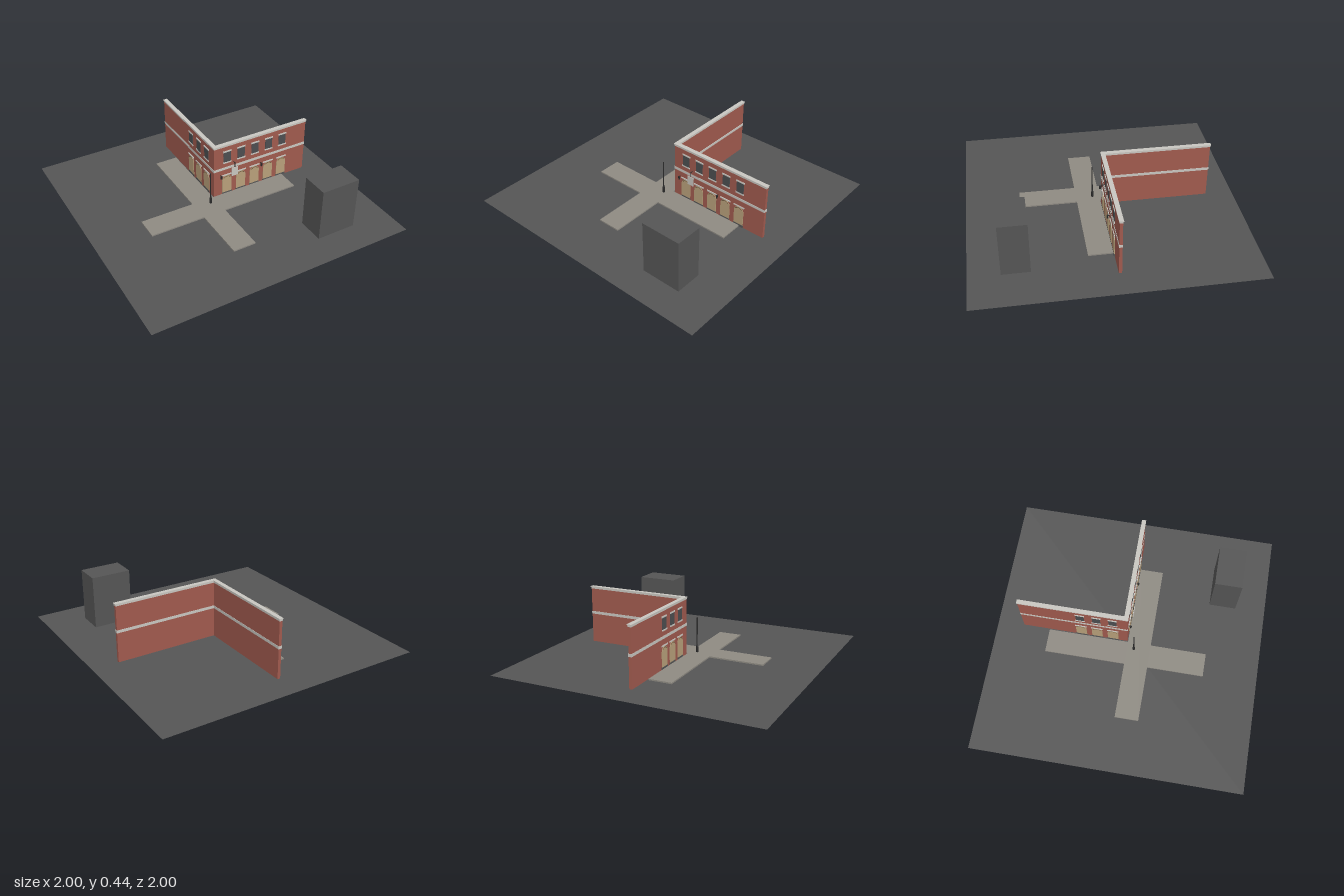
import * as THREE from 'three';

const mat = (name, color, side = THREE.FrontSide) => {
  const m = new THREE.MeshStandardMaterial({ color, side });
  m.name = name;
  return m;
};

export function createModel() {
  const asphalt = mat('asphalt grey', 0x555555, THREE.DoubleSide);
  const paving = mat('paving stone', 0x8e8a82);
  const brick = mat('red brick', 0xa05a4e);
  const stone = mat('pale stone', 0xc8c6c0);
  const tan = mat('tan door', 0xb8a07a);
  const trim = mat('brown trim', 0x80694c);
  const glass = mat('dark glass', 0x4c4e50);
  const iron = mat('black iron', 0x2b2b2b);

  const model = new THREE.Group();
  model.name = 'streetCorner';

  const add = (parent, name, geo, material, x = 0, y = 0, z = 0) => {
    const mesh = new THREE.Mesh(geo, material);
    mesh.name = name;
    mesh.position.set(x, y, z);
    parent.add(mesh);
    return mesh;
  };
  // box given by its minimum and maximum corners
  const box = (parent, name, material, x0, x1, y0, y1, z0, z1) =>
    add(parent, name, new THREE.BoxGeometry(x1 - x0, y1 - y0, z1 - z0), material,
      (x0 + x1) / 2, (y0 + y1) / 2, (z0 + z1) / 2);

  // street and cross-shaped pavement
  add(model, 'ground', new THREE.PlaneGeometry(2, 2).rotateX(-Math.PI / 2), asphalt);
  box(model, 'pavementAcross', paving, -0.6, 0.6, 0, 0.01, 0.005, 0.18);
  box(model, 'pavementBack', paving, -0.185, -0.01, 0, 0.01, -0.6, 0.005);
  box(model, 'pavementFront', paving, -0.185, -0.01, 0, 0.01, 0.18, 0.6);

  // plain block across the street
  box(model, 'streetBlock', asphalt, 0.4, 0.7, 0, 0.4, 0.575, 0.775);

  // L-shaped walls, with bands running round them
  const wallLayer = (name, material, y0, y1, out) => {
    const s = new THREE.Shape([
      [-out, out], [0.8 + out, out], [0.8 + out, -0.022 - out], [0.022 + out, -0.022 - out],
      [0.022 + out, -0.8 - out], [-out, -0.8 - out],
    ].map(([x, z]) => new THREE.Vector2(x, -z)));
    const geo = new THREE.ExtrudeGeometry(s, { depth: y1 - y0, bevelEnabled: false });
    add(model, name, geo.rotateX(-Math.PI / 2), material, 0, y0, 0);
  };
  wallLayer('walls', brick, 0, 0.425, 0);
  wallLayer('stoneBand', stone, 0.222, 0.243, 0.002);
  wallLayer('cornice', stone, 0.422, 0.434, 0.002);
  wallLayer('coping', stone, 0.434, 0.44, 0.005);

  // arched doorway outline
  const r = 0.04, spring = 0.127;
  const arch = new THREE.Shape();
  arch.moveTo(-r, 0.02);
  arch.lineTo(r, 0.02);
  arch.lineTo(r, spring);
  arch.absarc(0, spring, r, 0, Math.PI);
  arch.lineTo(-r, 0.02);
  const doorGeo = new THREE.ExtrudeGeometry(arch, { depth: 0.004, bevelEnabled: false, curveSegments: 10 });
  const archGeo = new THREE.TorusGeometry(0.034, 0.004, 4, 12, Math.PI * 0.6)
    .rotateZ(Math.PI * 0.2).scale(1, 1, 0.6);

  // one bay: door below, window above
  const bay = (parent, x) => {
    const g = new THREE.Group();
    g.name = 'bay';
    g.position.x = x;
    parent.add(g);
    box(g, 'doorStep', asphalt, -0.042, 0.042, 0, 0.02, -0.001, 0.005);
    add(g, 'door', doorGeo, tan);
    add(g, 'doorArch', archGeo, trim, 0, spring, 0.004);
    box(g, 'doorLintel', stone, -0.044, 0.044, 0.168, 0.178, -0.001, 0.005);
    box(g, 'windowPane', glass, -0.03, 0.03, 0.29, 0.375, -0.001, 0.003);
    box(g, 'windowSill', stone, -0.035, 0.035, 0.28, 0.29, -0.001, 0.006);
    box(g, 'windowLintel', stone, -0.035, 0.035, 0.375, 0.386, -0.001, 0.005);
  };
  const facade = (name, count, dir) => {
    const g = new THREE.Group();
    g.name = name;
    model.add(g);
    for (let i = 0; i < count; i++) bay(g, dir * (0.11 + 0.12 * i));
    return g;
  };
  facade('frontFacade', 5, 1);
  facade('sideFacade', 3, -1).rotation.y = -Math.PI / 2;

  // wall lanterns
  for (const x of [0.055, 0.405]) {
    add(model, 'wallLantern', new THREE.CylinderGeometry(0.008, 0.006, 0.025, 8), iron, x, 0.17, 0.015);
    box(model, 'lanternArm', iron, x - 0.002, x + 0.002, 0.178, 0.183, 0, 0.015);
  }

  // hanging board and its bracket
  box(model, 'hangingBoard', stone, 0.14, 0.194, 0.16, 0.232, 0.017, 0.022);
  box(model, 'boardHanger', iron, 0.165, 0.169, 0.232, 0.275, 0.017, 0.021);
  box(model, 'boardBracket', iron, 0.165, 0.169, 0.268, 0.273, 0, 0.021);

  // street post
  const post = [[0, 0], [0.009, 0], [0.009, 0.05], [0.006, 0.065], [0.004, 0.07], [0.004, 0.275], [0, 0.282]];
  add(model, 'streetPost', new THREE.LatheGeometry(post.map(([a, b]) => new THREE.Vector2(a, b)), 10),
    iron, -0.06, 0, 0.057);

  return model;
}
